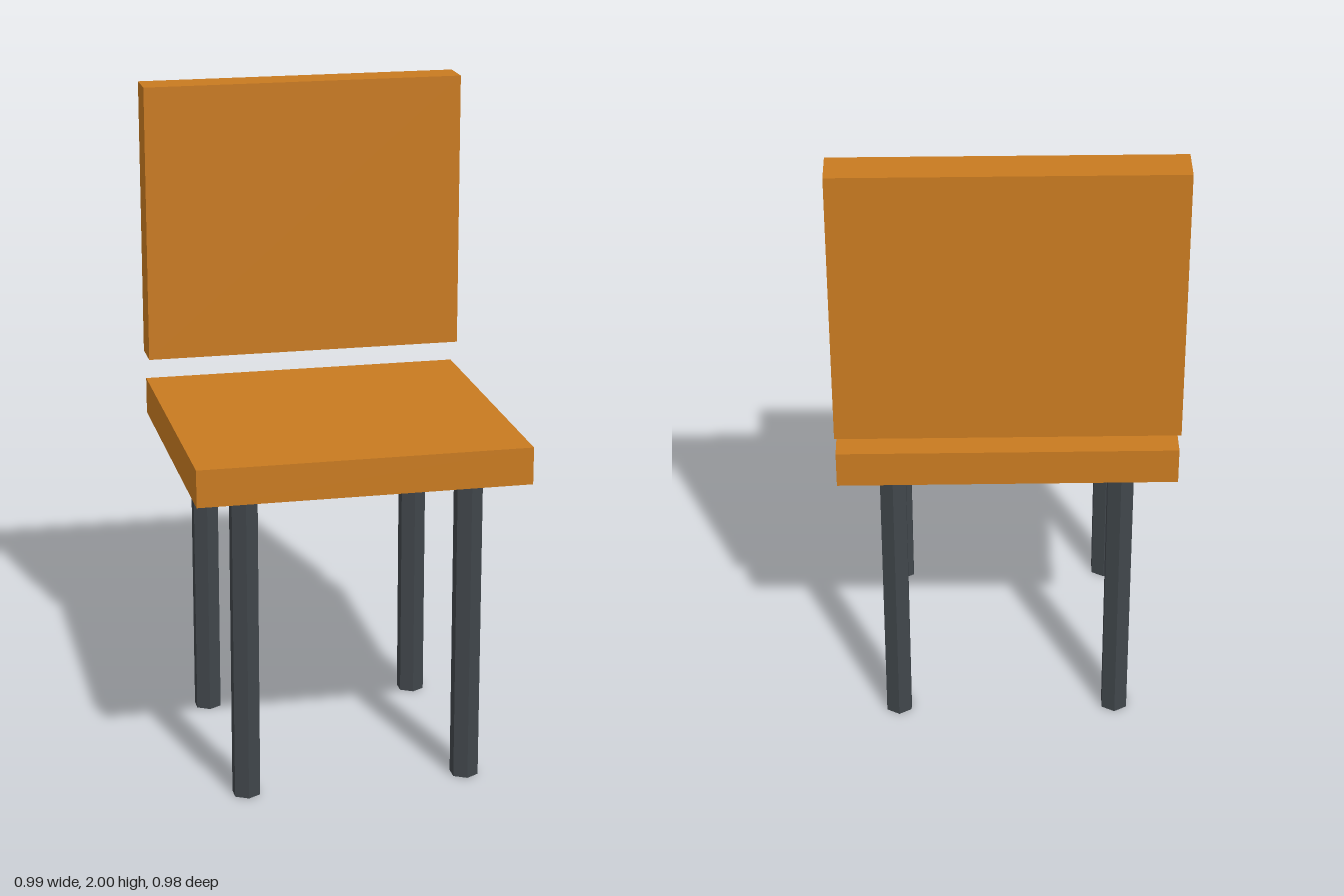
import * as THREE from 'three';

export function createModel() {
  const model = new THREE.Group();
  model.name = 'chair';

  const wood = new THREE.MeshStandardMaterial({ color: 0xc87a20 });
  wood.name = 'orange wood';
  const metal = new THREE.MeshStandardMaterial({ color: 0x40464b, flatShading: true });
  metal.name = 'dark grey metal';

  // Box panel given by its y and z ranges
  function panel(name, y0, y1, z0, z1) {
    const mesh = new THREE.Mesh(new THREE.BoxGeometry(0.988, y1 - y0, z1 - z0), wood);
    mesh.name = name;
    mesh.position.set(0, (y0 + y1) / 2, (z0 + z1) / 2);
    model.add(mesh);
  }
  panel('seat', 0.956, 1.068, -0.452, 0.489);
  panel('backrest', 1.148, 2, -0.489, -0.377);

  // Four hexagonal legs, ending just below the seat
  const legHeight = 0.944;
  const legGeometry = new THREE.CylinderGeometry(0.044, 0.044, legHeight, 6);
  for (const [end, z] of [['front', 0.357], ['back', -0.319]]) {
    for (const [side, x] of [['Left', 0.336], ['Right', -0.336]]) {
      const leg = new THREE.Mesh(legGeometry, metal);
      leg.name = end + side + 'Leg';
      leg.position.set(x, legHeight / 2, z);
      model.add(leg);
    }
  }
  return model;
}
